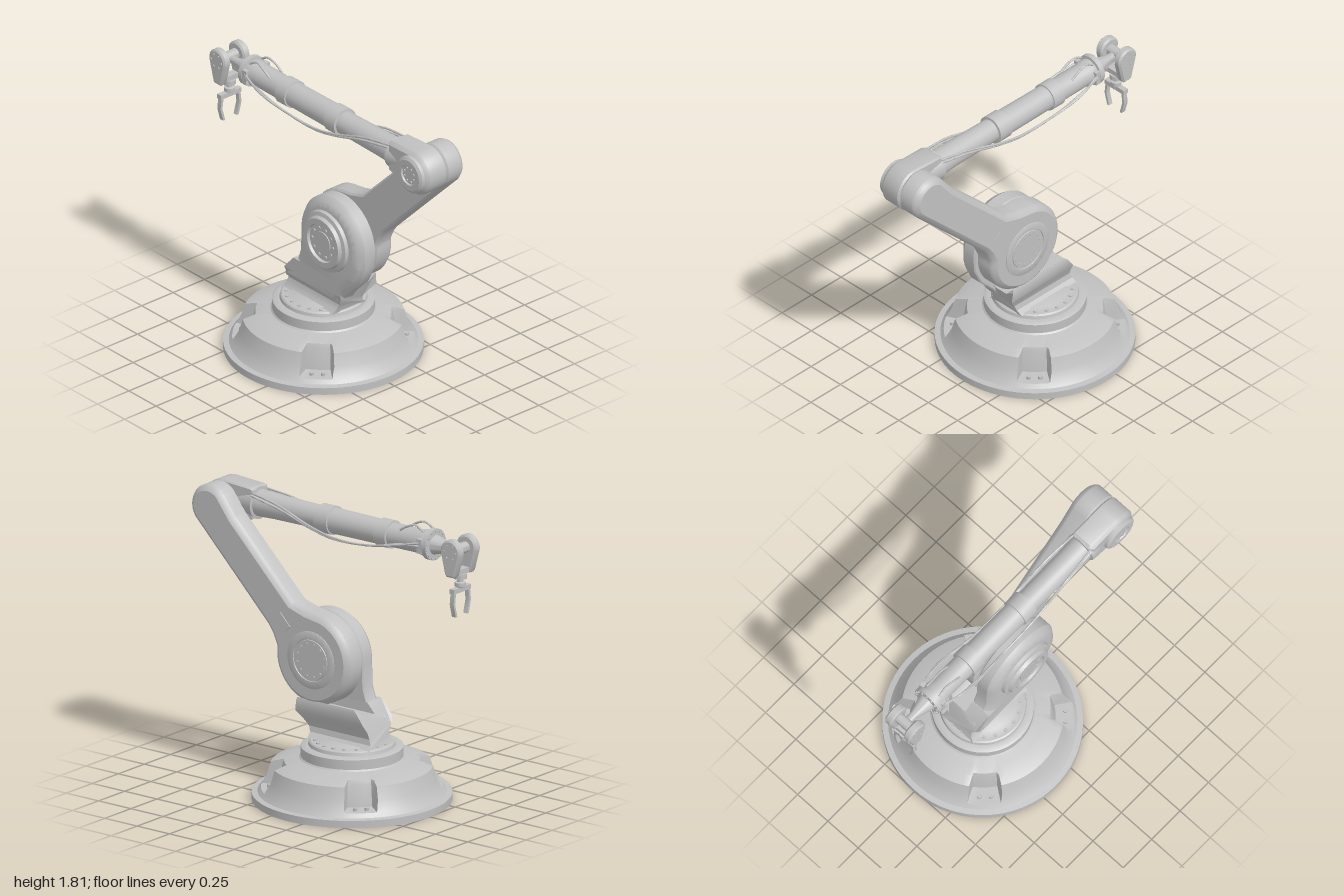
import * as THREE from 'three';
import { toCreasedNormals } from 'three/addons/utils/BufferGeometryUtils.js';

const steel = new THREE.MeshStandardMaterial({ color: 0xc0c0c0, side: THREE.DoubleSide });
steel.name = 'light grey';

const BASE_Z = -0.155;           // turntable axis
const SHOULDER = [0.05, 0.865];  // z, y
const ELBOW = [0.855, 1.67];     // z, y
const ARM_X = -0.083, ARM_Y = 1.693; // forearm axis
const WRIST = [-0.925, 1.705];   // z, y

function add(parent, name, geometry, x = 0, y = 0, z = 0, crease = 0.55) {
  const m = new THREE.Mesh(toCreasedNormals(geometry, crease), steel);
  m.name = name;
  m.position.set(x, y, z);
  parent.add(m);
  return m;
}

// Turned part, profile as [radius, height], along x, y or z
function turned(profile, axis = 'y', segments = 40) {
  const g = new THREE.LatheGeometry(profile.map(p => new THREE.Vector2(...p)), segments);
  if (axis === 'x') g.rotateZ(-Math.PI / 2);
  if (axis === 'z') g.rotateX(Math.PI / 2);
  return g;
}

function rod(r, length, axis = 'y', segments = 16) {
  const h = length / 2;
  return turned([[0, -h], [r, -h], [r, h], [0, h]], axis, segments);
}

// Arc points in the (z, y) plane, degrees
function arc([cz, cy], r, from, to, n = 24) {
  return Array.from({ length: n + 1 }, (_, i) => {
    const a = THREE.MathUtils.degToRad(from + (to - from) * i / n);
    return [cz + r * Math.cos(a), cy + r * Math.sin(a)];
  });
}

// Plate from a counter-clockwise (z, y) outline, swept through levels of [x, inset]
function plate(outline, levels) {
  const n = outline.length, pos = [], index = [];
  for (const [x, inset] of levels) {
    outline.forEach(([z, y], i) => {
      const p = outline[(i + n - 1) % n], q = outline[(i + 1) % n];
      const dz = q[0] - p[0], dy = q[1] - p[1], l = Math.hypot(dz, dy);
      pos.push(x, y + inset * dz / l, z - inset * dy / l);
    });
  }
  for (let k = 0; k < levels.length - 1; k++) {
    for (let i = 0; i < n; i++) {
      const a = k * n + i, b = k * n + (i + 1) % n, d = a + n, c = b + n;
      index.push(a, d, c, a, c, b);
    }
  }
  const top = (levels.length - 1) * n;
  const faces = THREE.ShapeUtils.triangulateShape(outline.map(p => new THREE.Vector2(...p)), []);
  for (const [a, b, c] of faces) index.push(a, b, c, top + a, top + c, top + b);
  const g = new THREE.BufferGeometry();
  g.setAttribute('position', new THREE.Float32BufferAttribute(pos, 3));
  g.setIndex(index);
  return g;
}

// Conical skirt with four pockets set into the wall
function skirt() {
  const wall = [[.55, .04], [.57, 0], [.605, 0], [.605, .045], [.57, .05], [.545, .08],
    [.515, .14], [.49, .22], [.43, .243], [.37, .255], [.3, .27]];
  const pocket = [[.55, .04], [.57, 0], [.605, 0], [.605, .045], [.57, .05], [.55, .075],
    [.44, .08], [.42, .215], [.41, .243], [.37, .255], [.3, .27]];
  const columns = [];
  for (let k = 0; k < 4; k++) {
    const c = Math.PI / 4 + k * Math.PI / 2;
    for (const a of [-.17, -.085, 0, .085, .17]) columns.push([c + a, pocket]);
    const span = Math.PI / 2 - .4;
    for (let i = 0; i <= 14; i++) columns.push([c + .2 + span * i / 14, wall]);
  }
  const n = wall.length, pos = [], index = [];
  for (const [a, profile] of columns)
    for (const [r, y] of profile) pos.push(r * Math.sin(a), y, r * Math.cos(a));
  columns.forEach((_, i) => {
    const next = (i + 1) % columns.length;
    for (let j = 0; j < n - 1; j++) {
      const a = i * n + j, b = next * n + j;
      index.push(a, b, b + 1, a, b + 1, a + 1);
    }
  });
  const g = new THREE.BufferGeometry();
  g.setAttribute('position', new THREE.Float32BufferAttribute(pos, 3));
  g.setIndex(index);
  return g;
}

// Ring of small bolts; axis is the direction the bolts point
function boltRing(parent, name, count, radius, size, axis, x, y, z) {
  const ring = new THREE.Group();
  ring.name = name;
  for (let i = 0; i < count; i++) {
    const a = (i + .5) / count * Math.PI * 2, c = radius * Math.cos(a), s = radius * Math.sin(a);
    const p = axis === 'x' ? [0, c, s] : axis === 'y' ? [c, 0, s] : [c, s, 0];
    add(ring, 'bolt', rod(size, .012, axis, 8), ...p);
  }
  ring.position.set(x, y, z);
  parent.add(ring);
}

// Piecewise linear lookup in [key, value] pairs
function lookup(table, v) {
  for (let i = 1; i < table.length; i++) {
    const [a, p] = table[i - 1], [b, q] = table[i];
    if (v <= b) return p + (q - p) * Math.max(0, (v - a) / (b - a));
  }
  return table[table.length - 1][1];
}

export function createModel() {
  const robot = new THREE.Group();
  robot.name = 'robotArm';

  // Base
  add(robot, 'baseSkirt', skirt(), 0, 0, BASE_Z);
  add(robot, 'turntable', turned([[.33, .255], [.31, .275], [.31, .335], [.295, .343], [.265, .345],
    [.26, .365], [.25, .372], [.2, .372], [.19, .378], [0, .378]], 'y', 64), 0, 0, BASE_Z);
  boltRing(robot, 'turntableBolts', 20, .225, .011, 'y', 0, .374, BASE_Z);
  for (let k = 0; k < 4; k++) for (const s of [-.07, .07]) {
    const a = Math.PI / 4 + k * Math.PI / 2 + s;
    add(robot, 'pocketBolt', rod(.014, .02, 'y', 10), .5 * Math.sin(a), .085, BASE_Z + .5 * Math.cos(a));
  }

  // Pedestal: front outline, its depth shaped by height
  const neck = new THREE.Shape([[-.14, .365], [-.11, .395], [-.1, .43], [-.125, .485], [-.15, .525], [-.15, .62],
    [-.015, .62], [-.012, .56], [.085, .56], [.105, .575], [.132, .61], [.138, .59], [.135, .525],
    [.105, .475], [.088, .43], [.095, .395], [.13, .365]].map(p => new THREE.Vector2(...p)));
  const pedestal = new THREE.ExtrudeGeometry(neck, { depth: 1, bevelEnabled: false });
  const front = [[.365, .085], [.42, .1], [.53, .18], [.62, .16]];
  const back = [[.365, -.385], [.43, -.36], [.51, -.355], [.59, -.3], [.62, -.26]];
  const pp = pedestal.attributes.position;
  for (let i = 0; i < pp.count; i++)
    pp.setZ(i, THREE.MathUtils.lerp(lookup(back, pp.getY(i)), lookup(front, pp.getY(i)), pp.getZ(i)));
  add(robot, 'pedestal', pedestal);

  // Shoulder plate and its outer hub
  add(robot, 'shoulderPlate', plate([[.11, .44], [.185, .54], [.29, .65], [.34, .76],
    ...arc([.06, .86], .285, 0, 180, 30), [-.23, .7], [-.26, .61], [-.34, .52], [-.345, .44]],
  [[-.15, .06], [-.135, .025], [-.1, 0], [-.022, 0], [-.015, .008]]));
  add(robot, 'shoulderHub', turned([[0, -.188], [.07, -.188], [.07, -.182], [.12, -.182], [.125, -.2], [.16, -.2],
    [.17, -.178], [.195, -.172], [.2, -.145]], 'x', 48), 0, SHOULDER[1], SHOULDER[0]);
  boltRing(robot, 'shoulderHubBolts', 10, .095, .01, 'x', -.183, SHOULDER[1], SHOULDER[0]);

  // Lower arm: round shoulder disc running into a straight link
  add(robot, 'lowerArm', plate([...arc(ELBOW, .138, -45, 135), [.66, 1.64], [.205, 1.19], [.1, 1.16],
    ...arc(SHOULDER, .285, 104, 367, 40), [.365, .97], [.4, 1.02], [.82, 1.44]],
  [[-.006, .012], [.005, 0], [.105, 0], [.125, .012], [.14, .035]]));
  add(robot, 'lowerArmHub', turned([[.18, .13], [.18, .143], [.175, .146], [.135, .146], [.133, .141],
    [.127, .141], [.125, .146], [0, .146]], 'x', 48), 0, SHOULDER[1], SHOULDER[0]);
  boltRing(robot, 'lowerArmHubBolts', 12, .105, .009, 'x', .145, SHOULDER[1], SHOULDER[0]);
  add(robot, 'armBadge', new THREE.BoxGeometry(.016, .11, .05), .138, 1.065, .265).rotation.x = Math.PI / 4;

  // Elbow block and hub
  add(robot, 'elbowBlock', plate([...arc(ELBOW, .142, -130, 90, 30), [.64, 1.8], [.62, 1.785], [.62, 1.605], [.69, 1.58]],
    [[-.17, .025], [-.15, .005], [-.14, 0], [-.018, 0], [-.007, .01]]));
  add(robot, 'elbowHub', turned([[0, -.19], [.06, -.19], [.065, -.2], [.1, -.2], [.118, -.188], [.12, -.16]], 'x'),
    0, ELBOW[1], ELBOW[0]);
  boltRing(robot, 'elbowHubBolts', 8, .045, .008, 'x', -.19, ELBOW[1], ELBOW[0]);

  // Forearm tube with collars, wrist flange and cone
  add(robot, 'forearm', turned([[.026, -.93], [.027, -.85], [.06, -.735], [.098, -.733], [.098, -.7], [.08, -.698],
    [.082, -.66], [.073, -.62], [.075, -.41], [.087, -.408], [.087, -.32], [.077, -.318], [.08, .04],
    [.089, .042], [.089, .14], [.073, .142], [.078, .5], [.083, .618], [.102, .62], [.08, .76]], 'z'),
  ARM_X, ARM_Y, 0);
  boltRing(robot, 'flangeBolts', 14, .085, .008, 'z', ARM_X, ARM_Y, -.735);
  for (const s of [-1, 1])
    add(robot, 'cableClamp', new THREE.BoxGeometry(.03, .09, .035), ARM_X + s * .08, ARM_Y, -.68);

  // Cables hanging along both sides of the forearm
  const runs = [
    [[.07, .075, .63], [.088, .045, .42], [.098, -.03, .18], [.1, -.07, 0], [.105, -.07, -.25], [.125, -.02, -.5], [.09, .02, -.68]],
    [[.078, .06, .63], [.09, .02, .4], [.096, -.05, .15], [.1, -.08, -.03], [.11, -.055, -.35], [.115, -.005, -.55], [.09, .0, -.68]],
    [[.05, .06, -.5], [.05, .095, -.56], [.045, .11, -.62], [.05, .08, -.68]],
  ];
  for (const s of [-1, 1]) for (const run of runs) {
    const path = new THREE.CatmullRomCurve3(run.map(([x, y, z]) => new THREE.Vector3(ARM_X + s * x, ARM_Y + y, z)));
    add(robot, 'cable', new THREE.TubeGeometry(path, 40, .007, 8), 0, 0, 0, 1.2);
  }

  // Wrist fork: two teardrop cheeks, axle and bridge
  for (const s of [-1, 1]) {
    const levels = [[-.027, .012], [-.017, 0], [.017, 0], [.027, .012]];
    add(robot, 'wristCheek', plate([...arc(WRIST, .075, -20, 200, 24), [-.962, 1.56], [-.95, 1.545],
      [-.895, 1.545], [-.883, 1.56]], levels), ARM_X + s * .077);
    boltRing(robot, 'cheekBolts', 6, .045, .007, 'x', ARM_X + s * .104, WRIST[1], WRIST[0]);
  }
  add(robot, 'wristAxle', rod(.034, .15, 'x', 24), ARM_X, WRIST[1], WRIST[0]);
  add(robot, 'wristBridge', new THREE.BoxGeometry(.14, .035, .05), ARM_X, 1.565, WRIST[0]);

  // Gripper
  add(robot, 'gripperNeck', turned([[0, 1.44], [.022, 1.44], [.022, 1.462], [.034, 1.47], [.034, 1.495],
    [.02, 1.5], [.02, 1.515], [.04, 1.52], [.04, 1.55], [0, 1.55]], 'y', 24), ARM_X, 0, WRIST[0]);
  add(robot, 'gripperBar', new THREE.BoxGeometry(.165, .03, .034), ARM_X, 1.452, WRIST[0]);
  for (const s of [-1, 1]) {
    const finger = new THREE.Shape([[.058, 1.45], [.074, 1.45], [.084, 1.37], [.062, 1.288], [.046, 1.288], [.068, 1.37]]
      .map(([x, y]) => new THREE.Vector2(s * x, y)));
    add(robot, 'gripperFinger', new THREE.ExtrudeGeometry(finger, { depth: .03, bevelEnabled: false }),
      ARM_X, 0, WRIST[0] - .015);
  }
  return robot;
}
